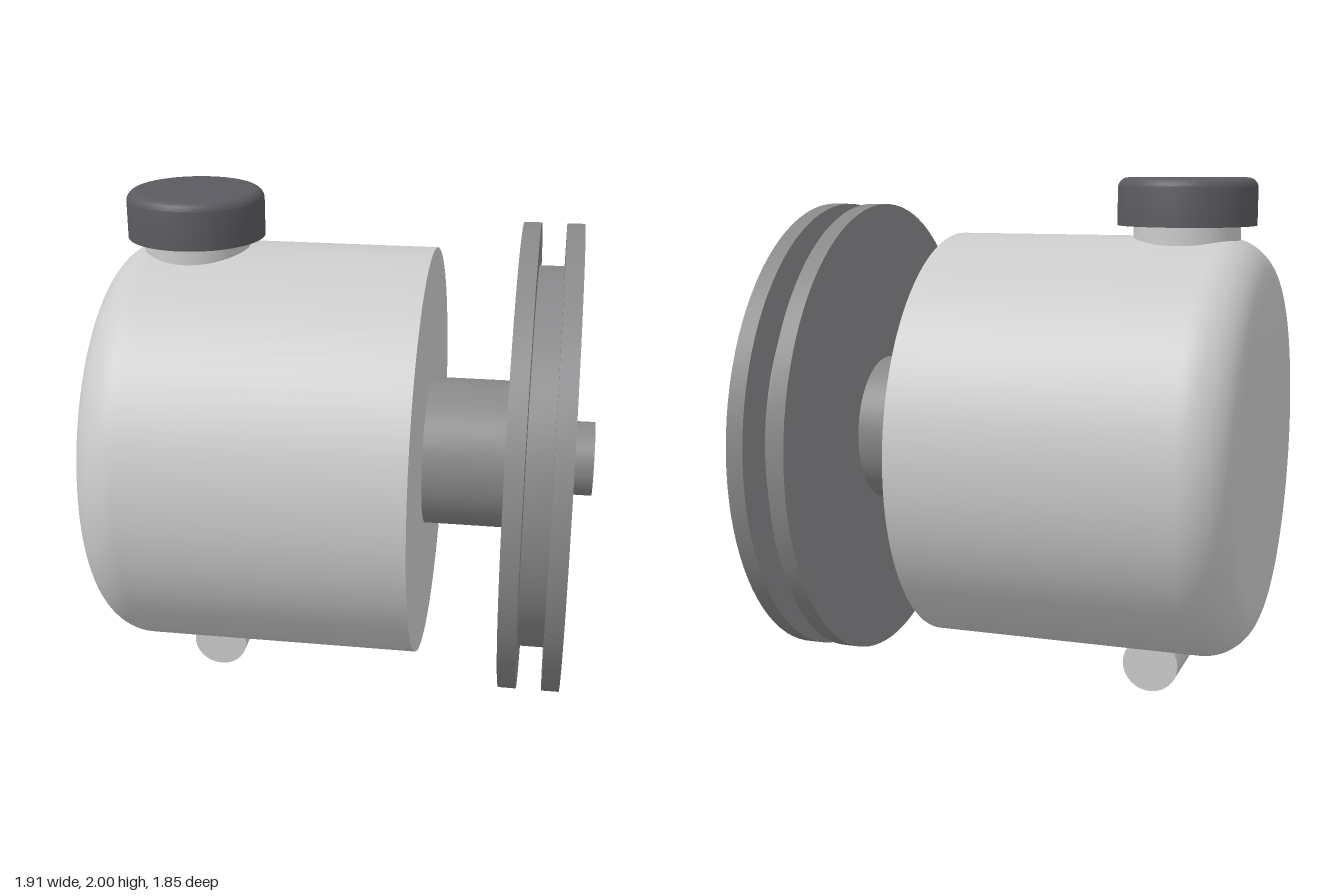
import * as THREE from 'three';
import { toCreasedNormals } from 'three/addons/utils/BufferGeometryUtils.js';

const AXIS_Y = 0.965;
const housingMat = new THREE.MeshStandardMaterial({ color: 0xcccccc });
const steelMat = new THREE.MeshStandardMaterial({ color: 0x88888a });
const capMat = new THREE.MeshStandardMaterial({ color: 0x5a5a60 });

// Quarter-round profile points around (r, y), from angle a0 to a1
function fillet(r, y, radius, a0, a1, steps = 10) {
  return Array.from({ length: steps + 1 }, (_, i) => {
    const a = a0 + ((a1 - a0) * i) / steps;
    return [r + radius * Math.cos(a), y + radius * Math.sin(a)];
  });
}

// Solid of revolution from [radius, height] pairs, listed bottom to top
function turned(name, profile, material) {
  const points = profile.map(([r, y]) => new THREE.Vector2(r, y));
  const geometry = toCreasedNormals(new THREE.LatheGeometry(points, 96), 0.5);
  const mesh = new THREE.Mesh(geometry, material);
  mesh.name = name;
  return mesh;
}

export function createModel() {
  const model = new THREE.Group();
  model.name = 'pump';

  // Parts turned about the horizontal drive axis, profile height runs along +x
  const drive = new THREE.Group();
  drive.name = 'driveAxisParts';
  drive.rotation.z = -Math.PI / 2;
  drive.position.y = AXIS_Y;
  model.add(drive);

  // Housing with a rounded rear edge
  drive.add(turned('housing', [
    [0, -0.957],
    ...fillet(0.622, -0.767, 0.19, -Math.PI / 2, 0, 16),
    [0.812, 0.298], [0, 0.298],
  ], housingMat));

  // Bearing hub
  drive.add(turned('hub', [[0, 0.29], [0.295, 0.29], [0.295, 0.64], [0, 0.64]], steelMat));

  // Grooved pulley
  drive.add(turned('pulley', [
    [0, 0.634], [0.924, 0.634], [0.924, 0.702], [0.757, 0.702],
    [0.757, 0.8], [0.924, 0.8], [0.924, 0.868], [0, 0.868],
  ], steelMat));

  // Shaft end
  drive.add(turned('shaft', [[0, 0.86], [0.147, 0.86], [0.147, 0.955], [0, 0.955]], steelMat));

  // Filler neck and its cap
  const neck = turned('fillerNeck', [[0, 1.6], [0.205, 1.6], [0.205, 1.84], [0, 1.84]], housingMat);
  const cap = turned('fillerCap', [
    [0, 1.82], [0.266, 1.82],
    ...fillet(0.226, 1.96, 0.04, 0, Math.PI / 2),
    [0, 2],
  ], capMat);
  for (const part of [neck, cap]) {
    part.position.x = -0.628;
    model.add(part);
  }

  // Mounting boss crossing under the housing
  const boss = turned('mountingBoss', [[0, -0.184], [0.11, -0.184], [0.11, 0.184], [0, 0.184]], housingMat);
  boss.rotation.x = Math.PI / 2;
  boss.position.set(-0.553, 0.11, 0);
  model.add(boss);

  return model;
}
